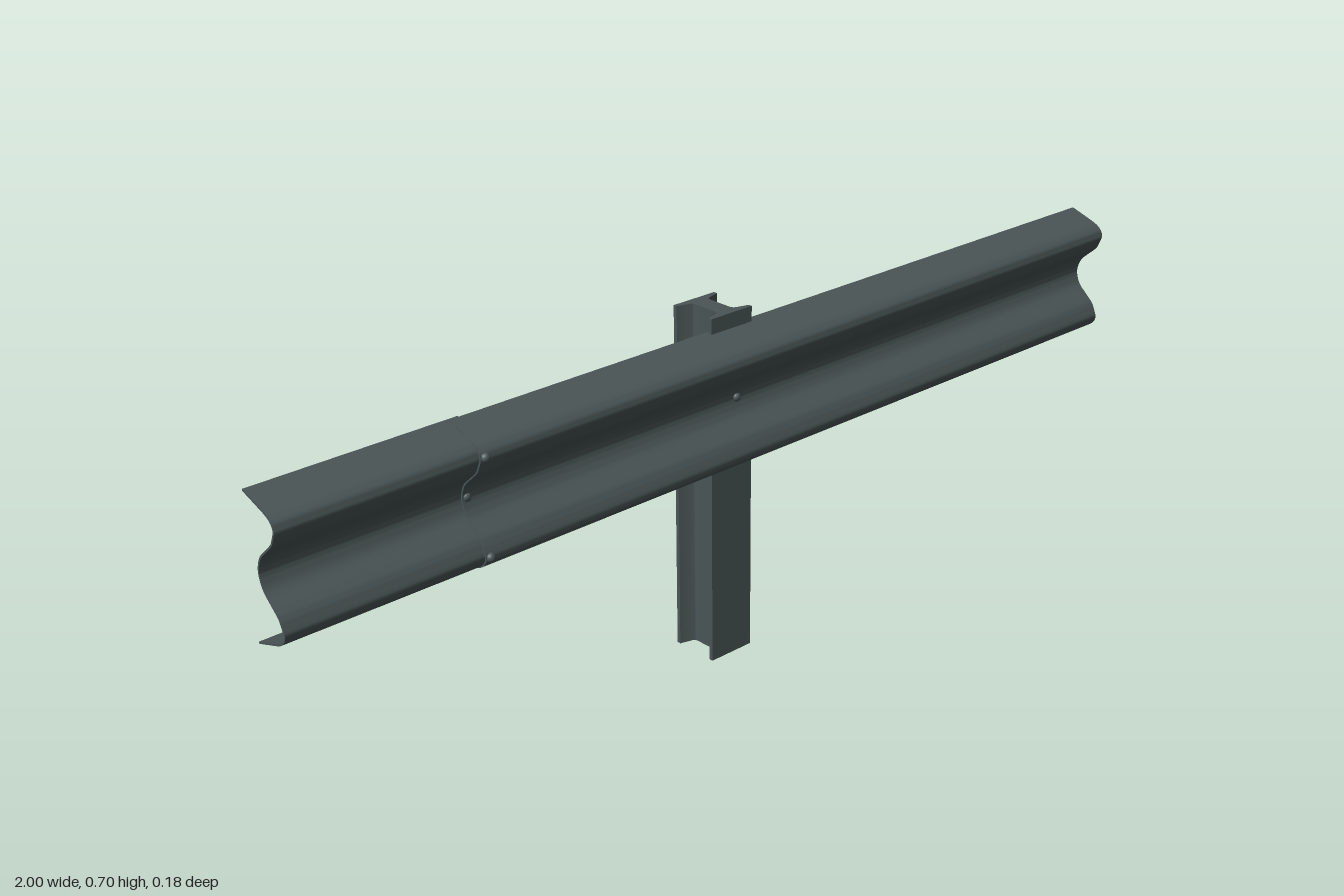
import * as THREE from 'three';
import { toCreasedNormals } from 'three/addons/utils/BufferGeometryUtils.js';

const steel = new THREE.MeshStandardMaterial({ color: 0x4a5555 });
steel.name = 'dark steel';

const MID = 0.54; // height of the rail's centre line

// Half of the double-wave section as [z, height above the centre line]
const HALF = [[0.021, 0], [0.023, 0.012], [0.031, 0.029], [0.049, 0.046], [0.067, 0.063],
  [0.0725, 0.074], [0.078, 0.09], [0.0735, 0.101], [0.062, 0.11], [0.032, 0.121], [-0.001, 0.132]];

function railShape() {
  const points = [...HALF.slice(1).reverse().map(([z, y]) => [z, -y]), ...HALF];
  const curve = new THREE.CatmullRomCurve3(
    points.map(([z, y]) => new THREE.Vector3(-z, MID + y, 0)), false, 'centripetal');
  const front = [], back = [];
  const steps = 60;
  for (let i = 0; i <= steps; i++) {
    const p = curve.getPoint(i / steps), t = curve.getTangent(i / steps);
    const half = 0.0018;
    front.push(new THREE.Vector2(p.x - t.y * half, p.y + t.x * half));
    back.push(new THREE.Vector2(p.x + t.y * half, p.y - t.x * half));
  }
  return new THREE.Shape([...front, ...back.reverse()]);
}

// Rail running from x0 to x1, shifted forward by z0 and z1 at its ends
function rail(name, x0, x1, z0, z1) {
  let geo = new THREE.ExtrudeGeometry(railShape(), { depth: x1 - x0, bevelEnabled: false });
  geo.rotateY(Math.PI / 2);
  geo.translate(x0, 0, 0);
  const pos = geo.attributes.position;
  for (let i = 0; i < pos.count; i++) {
    const t = (pos.getX(i) - x0) / (x1 - x0);
    pos.setZ(i, pos.getZ(i) + THREE.MathUtils.lerp(z0, z1, t));
  }
  geo = toCreasedNormals(geo, 0.7);
  const mesh = new THREE.Mesh(geo, steel);
  mesh.name = name;
  return mesh;
}

// I-section post with flanges that thicken into the web
function post() {
  const s = new THREE.Shape();
  const w = 0.05, d = 0.05, web = 0.018, edge = 0.008, root = 0.014;
  s.moveTo(-w, -d);
  s.lineTo(w, -d);
  s.lineTo(w, -d + edge);
  s.lineTo(web + 0.01, -d + root);
  s.quadraticCurveTo(web, -d + root + 0.002, web, -d + root + 0.012);
  s.lineTo(web, d - root - 0.012);
  s.quadraticCurveTo(web, d - root - 0.002, web + 0.01, d - root);
  s.lineTo(w, d - edge);
  s.lineTo(w, d);
  s.lineTo(-w, d);
  s.lineTo(-w, d - edge);
  s.lineTo(-web - 0.01, d - root);
  s.quadraticCurveTo(-web, d - root - 0.002, -web, d - root - 0.012);
  s.lineTo(-web, -d + root + 0.012);
  s.quadraticCurveTo(-web, -d + root + 0.002, -web - 0.01, -d + root);
  s.lineTo(-w, -d + edge);
  s.closePath();
  let geo = new THREE.ExtrudeGeometry(s, { depth: 0.7, bevelEnabled: false, curveSegments: 6 });
  geo.rotateX(-Math.PI / 2);
  geo = toCreasedNormals(geo, 0.7);
  const mesh = new THREE.Mesh(geo, steel);
  mesh.name = 'post';
  mesh.position.z = -0.04;
  return mesh;
}

// Domed bolt head in front, hexagonal nut behind
function bolt(x, y, z) {
  const group = new THREE.Group();
  group.name = 'bolt';
  const dome = new THREE.SphereGeometry(0.009, 16, 6, 0, Math.PI * 2, 0, Math.PI / 2);
  dome.rotateX(Math.PI / 2);
  const head = new THREE.Mesh(dome, steel);
  head.name = 'boltHead';
  const hex = new THREE.CylinderGeometry(0.008, 0.008, 0.009, 6);
  hex.rotateX(Math.PI / 2);
  const nut = new THREE.Mesh(toCreasedNormals(hex, 0.5), steel);
  nut.name = 'nut';
  nut.position.z = -0.0045;
  group.add(head, nut);
  group.position.set(x, y, z);
  return group;
}

export function createModel() {
  const model = new THREE.Group();
  model.name = 'roadsideBarrier';
  model.add(post());

  // Two rails overlapping near the right end
  model.add(rail('endRail', -1, -0.6, -0.002, -0.002));
  model.add(rail('mainRail', -0.62, 1, 0.002, -0.002));

  // Splice bolts and the bolt into the post
  for (const [dy, z] of [[-0.09, 0.08], [0, 0.021], [0.09, 0.08]]) {
    model.add(bolt(-0.61, MID + dy, z));
  }
  model.add(bolt(0, MID, 0.021));
  return model;
}
